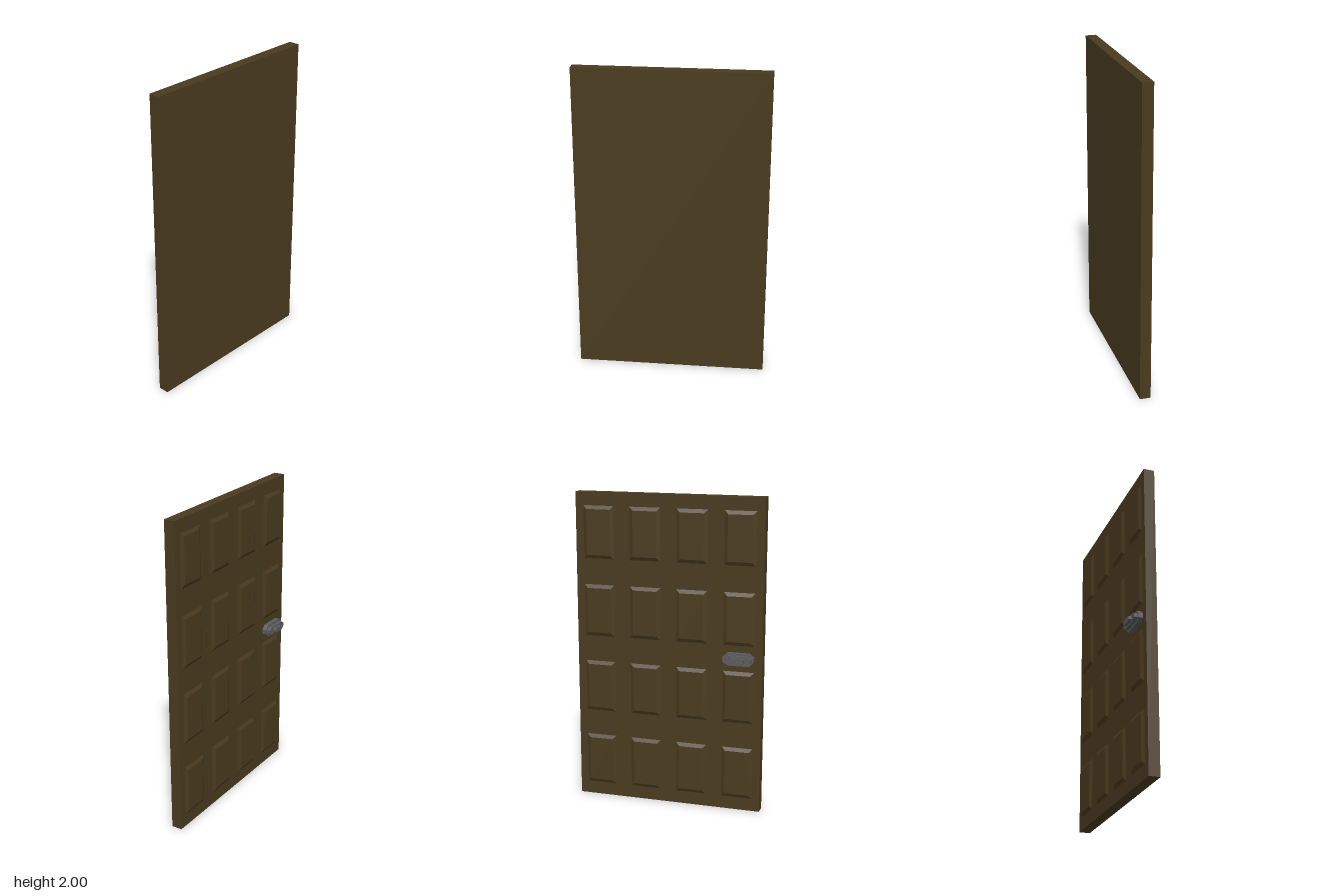
import * as THREE from 'three';

const wood = new THREE.MeshStandardMaterial({ color: 0x4a3b1f, flatShading: true });
const metal = new THREE.MeshStandardMaterial({ color: 0x5c5c5e, flatShading: true });

// Raised panel: a box whose back face is drawn in to make sloping borders
function raisedPanel(w, h, d, slope) {
  const g = new THREE.BoxGeometry(w, h, d);
  const p = g.attributes.position;
  for (let i = 0; i < p.count; i++) {
    if (p.getZ(i) < 0) {
      p.setX(i, p.getX(i) - Math.sign(p.getX(i)) * slope);
      p.setY(i, p.getY(i) - Math.sign(p.getY(i)) * slope);
    }
  }
  return g.toNonIndexed();
}

// Plate with chamfered corners, half sizes a and b, chamfer cx by cy
function chamferedPlate(a, b, cx, cy, depth) {
  const s = new THREE.Shape([
    [a, -b + cy], [a, b - cy], [a - cx, b], [-a + cx, b],
    [-a, b - cy], [-a, -b + cy], [-a + cx, -b], [a - cx, -b],
  ].map(([x, y]) => new THREE.Vector2(x, y)));
  return new THREE.ExtrudeGeometry(s, { depth, bevelEnabled: false });
}

export function createModel() {
  const door = new THREE.Group();
  door.name = 'door';

  function add(parent, name, geometry, material, x, y, z) {
    const m = new THREE.Mesh(geometry, material);
    m.name = name;
    m.position.set(x, y, z);
    parent.add(m);
  }

  // Slab
  add(door, 'slab', new THREE.BoxGeometry(1.21, 2, 0.069), wood, 0, 1, 0.0345);

  // Four by four raised panels on the back
  const panels = new THREE.Group();
  panels.name = 'panels';
  door.add(panels);
  const panel = raisedPanel(0.21, 0.344, 0.016, 0.028);
  for (let row = 0; row < 4; row++) {
    for (let col = 0; col < 4; col++) {
      add(panels, 'panel', panel, wood, -0.4545 + col * 0.303, 0.25 + row * 0.5, -0.005);
    }
  }

  // Stepped handle
  const handle = new THREE.Group();
  handle.name = 'handle';
  handle.position.set(-0.456, 1, 0);
  door.add(handle);
  add(handle, 'handleBase', chamferedPlate(0.098, 0.04, 0.028, 0.025, 0.03), metal, 0, 0, -0.029);
  add(handle, 'handleStep', chamferedPlate(0.087, 0.027, 0.024, 0.016, 0.024), metal, 0, 0, -0.052);
  add(handle, 'handleGrip', chamferedPlate(0.044, 0.017, 0.01, 0.009, 0.02), metal, 0, 0, -0.07);

  return door;
}
